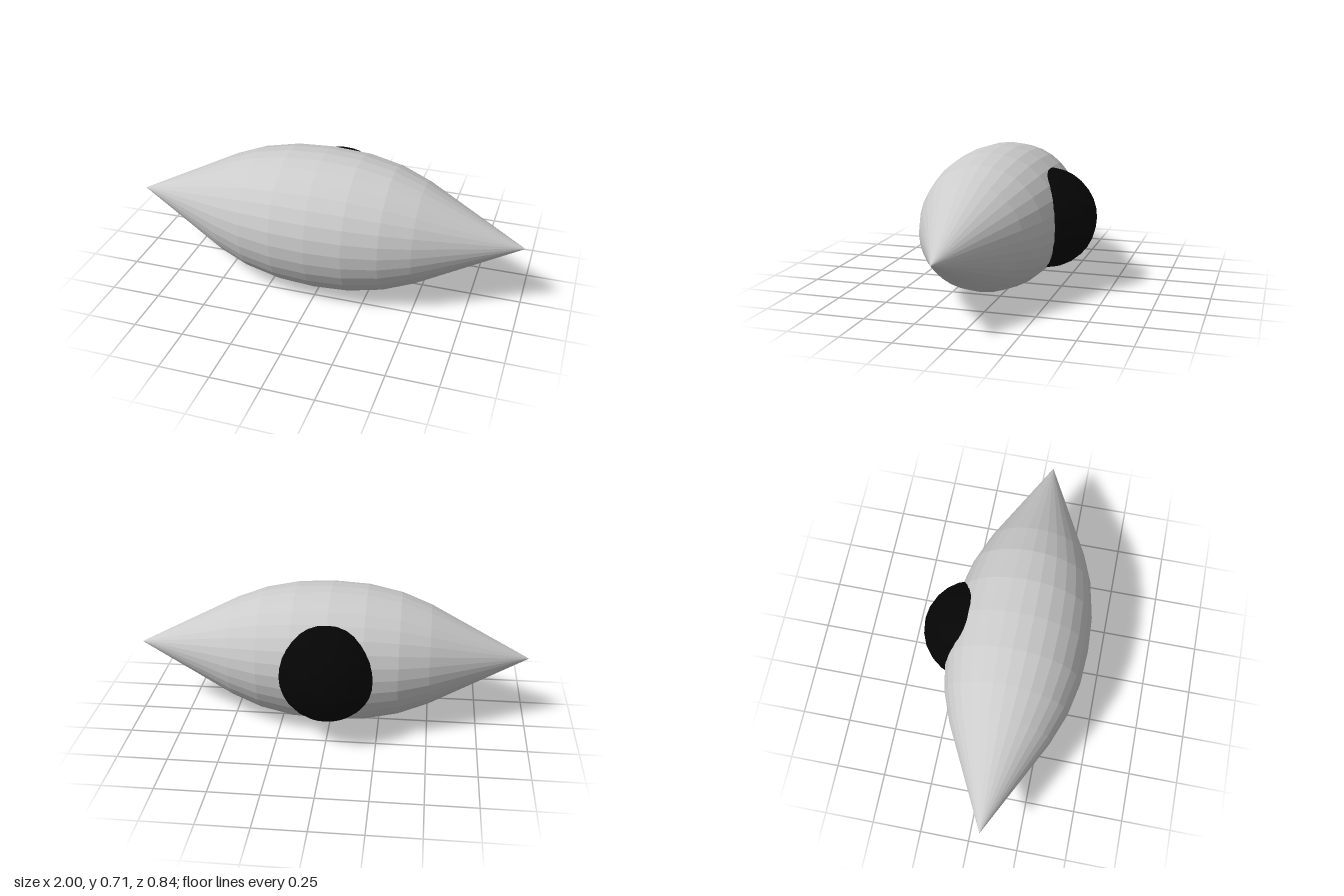
import * as THREE from 'three';

export function createModel() {
  const group = new THREE.Group();

  // Spindle body: half profile (radius, distance along the axis), mirrored about the middle
  const half = [[0, 1], [0.254, 0.5], [0.311, 0.35], [0.346, 0.18]];
  const profile = [
    ...half.map(([r, d]) => new THREE.Vector2(r, -d)),
    new THREE.Vector2(0.356, 0),
    ...half.slice().reverse().map(([r, d]) => new THREE.Vector2(r, d)),
  ];
  const body = new THREE.Mesh(
    new THREE.LatheGeometry(profile, 32),
    new THREE.MeshStandardMaterial({ color: 0xcccccc, flatShading: true })
  );
  body.name = 'spindleBody';
  body.rotation.z = -Math.PI / 2;
  body.position.set(0, 0.356, 0.066);
  group.add(body);

  // Dark ball sunk into the back
  const ball = new THREE.Mesh(
    new THREE.SphereGeometry(0.252, 24, 16),
    new THREE.MeshStandardMaterial({ color: 0x050505, flatShading: true })
  );
  ball.name = 'backBall';
  ball.position.set(0, 0.356, -0.17);
  group.add(ball);

  return group;
}
